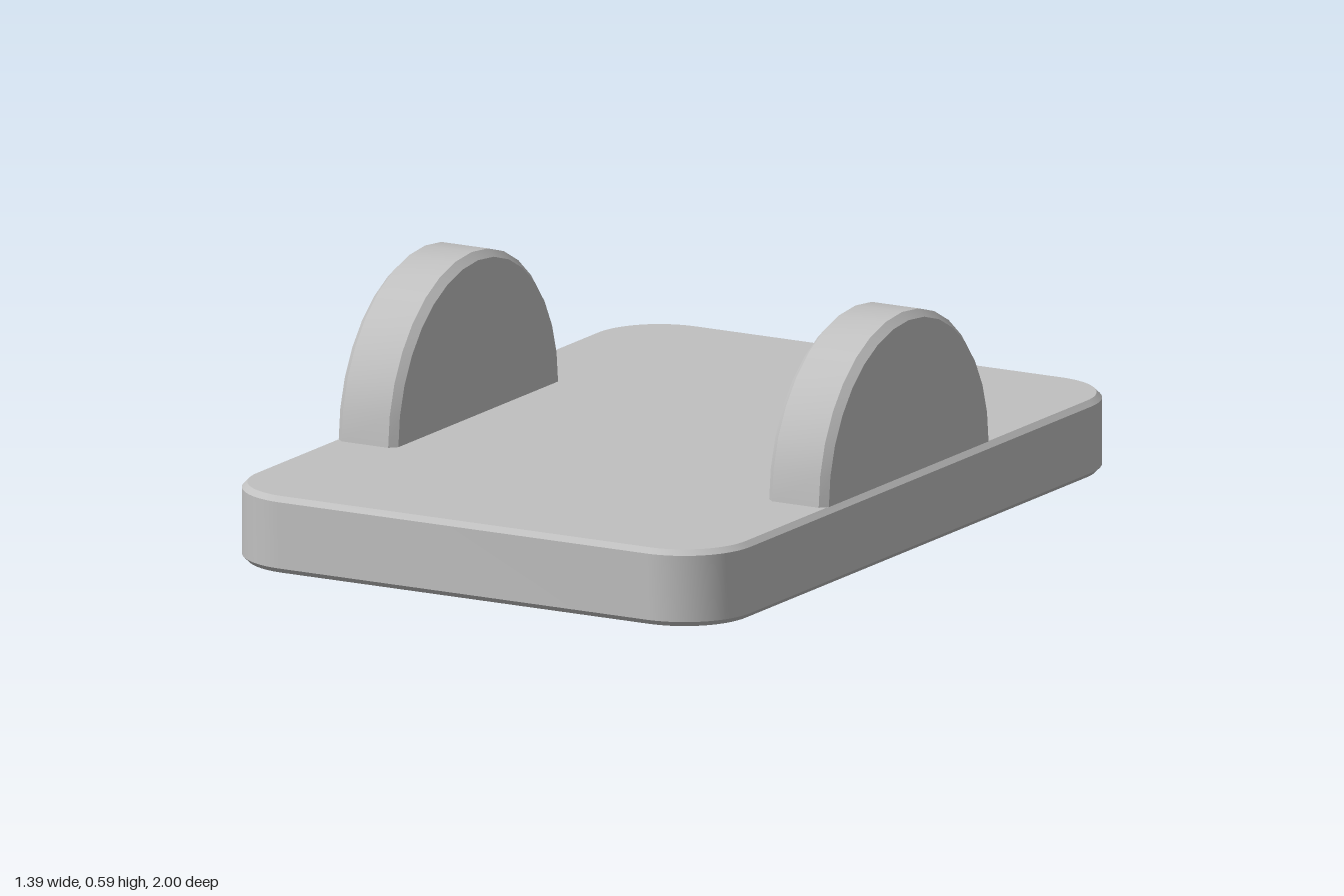
import * as THREE from 'three';
import { toCreasedNormals } from 'three/addons/utils/BufferGeometryUtils.js';

const HALF_W = 0.693, HALF_L = 1, HEIGHT = 0.19, BEVEL = 0.013;

// Rounded slab with chamfered top and bottom edges
function slabGeometry() {
  const w = HALF_W - BEVEL, l = HALF_L - BEVEL, r = 0.17;
  const s = new THREE.Shape();
  s.absarc(w - r, l - r, r, 0, Math.PI / 2);
  s.absarc(-w + r, l - r, r, Math.PI / 2, Math.PI);
  s.absarc(-w + r, -l + r, r, Math.PI, Math.PI * 1.5);
  s.absarc(w - r, -l + r, r, Math.PI * 1.5, Math.PI * 2);
  const g = new THREE.ExtrudeGeometry(s, {
    depth: HEIGHT - 2 * BEVEL, bevelThickness: BEVEL, bevelSize: BEVEL,
    bevelSegments: 1, curveSegments: 10,
  });
  g.rotateX(-Math.PI / 2).translate(0, BEVEL, 0);
  return toCreasedNormals(g, 0.45);
}

// Upright half disc with a chamfered rim, axis along x
function halfDiscGeometry(radius, thickness, chamfer) {
  const t = thickness / 2;
  const profile = [
    [0, -t], [radius - chamfer, -t], [radius, -t + chamfer],
    [radius, t - chamfer], [radius - chamfer, t], [0, t],
  ].map(([x, y]) => new THREE.Vector2(x, y));
  const g = new THREE.LatheGeometry(profile, 16, 0, Math.PI);
  g.rotateZ(Math.PI / 2);
  return toCreasedNormals(g, 0.45);
}

export function createModel() {
  const grey = new THREE.MeshStandardMaterial({ color: 0xc0c0c0 });
  grey.name = 'light grey';
  const model = new THREE.Group();
  model.name = 'plateWithHalfDiscs';

  const base = new THREE.Mesh(slabGeometry(), grey);
  base.name = 'base';
  model.add(base);

  // One half disc along each long edge
  const disc = halfDiscGeometry(0.4, 0.166, 0.018);
  for (const [name, side] of [['leftDisc', 1], ['rightDisc', -1]]) {
    const mesh = new THREE.Mesh(disc, grey);
    mesh.name = name;
    mesh.position.set(side * 0.599, HEIGHT, 0.04);
    model.add(mesh);
  }
  return model;
}
